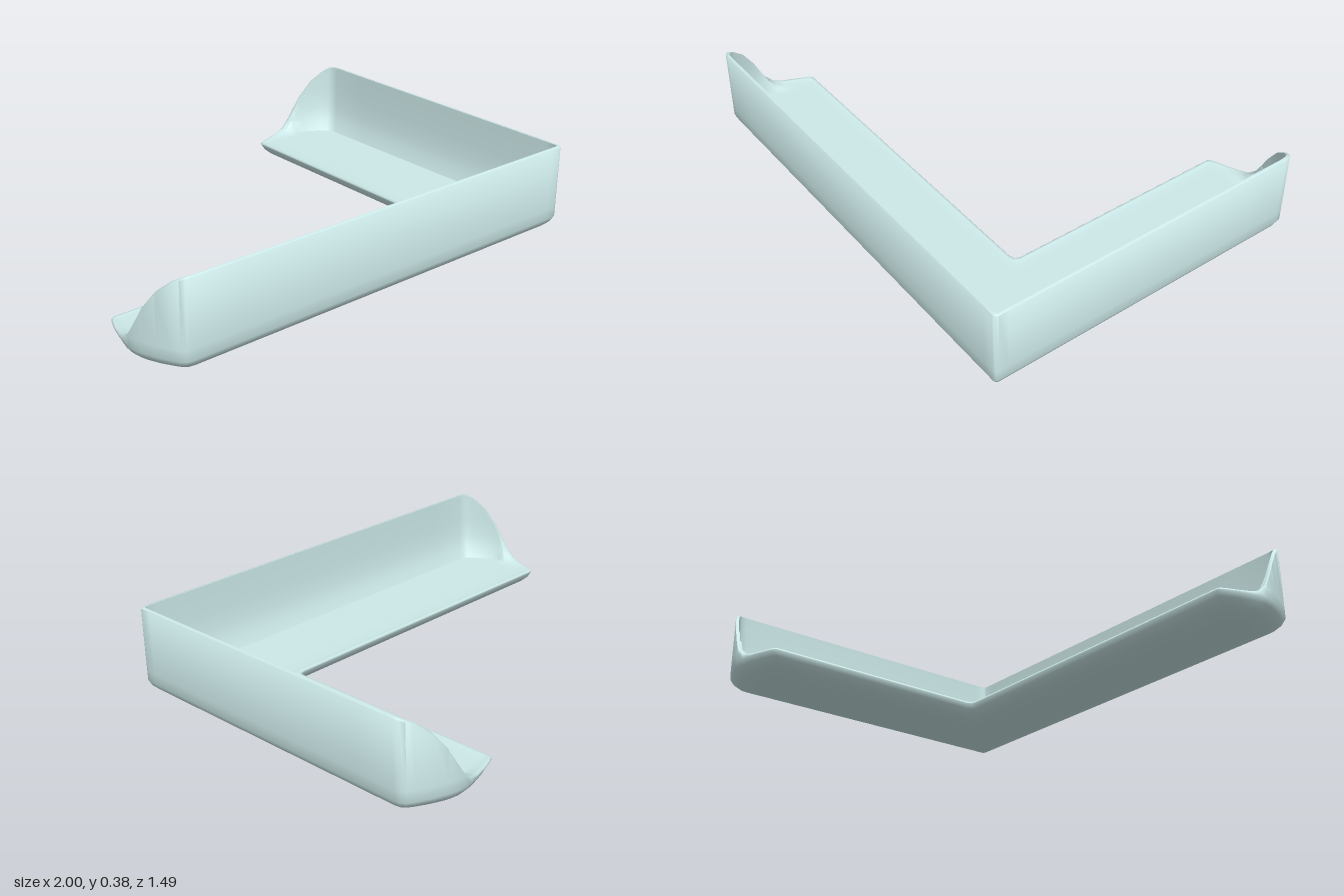
import * as THREE from 'three';
import { toCreasedNormals } from 'three/addons/utils/BufferGeometryUtils.js';

const HALF_Z = 0.745, WIDTH_X = 0.435, WIDTH_Z = 0.415, INSET = 0.1;
const WALL = 0.38, FLOOR = 0.072, LIP = 0.076;

// Rounded arm tip, from the low inner edge to the tall wall:
// [fraction across the arm, setback from the tip, rim height]
const TIP = [
  [1, 0.07, LIP], [0.985, 0.058, LIP], [0.94, 0.048, LIP], [0.83, 0.03, LIP],
  [0.7, 0.014, 0.08], [0.6, 0.004, 0.09], [0.51, 0, 0.125], [0.43, 0.005, 0.18],
  [0.36, 0.013, 0.235], [0.23, 0.034, 0.31], [0.1, 0.062, 0.358], [0.04, 0.078, 0.373],
  [0.01, 0.095, 0.379], [0, 0.12, WALL], [0, 0.3, WALL],
];

// Cross-section from the underside, round the outer wall and rim, to the floor: [inset, height]
const section = (h) => [
  [INSET, 0.003], [0.06, 0.012], [0.03, 0.025], [0.01, 0.045], [0, 0.066],
  [0, Math.min(0.11, h - 0.005)], [0.001, h - 0.003], [0.004, h], [0.013, h],
  [0.016, Math.min(0.25, h - 0.001)], [0.022, Math.min(0.18, h - 0.002)],
  [0.034, Math.min(0.12, h - 0.003)], [0.055, FLOOR], [INSET, FLOOR],
];

// Position across an arm after insetting both of its edges by d
const across = (t, w, d) => w / 2 + (t - 0.5) * (w - 2 * d);

// Plan outline: each entry gives the rim height and the plan point at inset d
function outline() {
  const right = TIP.map(([t, e, h]) => ({
    h, at: (d) => [1 - across(t, WIDTH_X, d), -HALF_Z + e + d],
  }));
  const left = TIP.map(([t, e, h]) => ({
    h, at: (d) => [-1 + e + d, HALF_Z - across(t, WIDTH_Z, d)],
  })).reverse();
  const ix = 1 - WIDTH_X, iz = HALF_Z - WIDTH_Z;
  const innerCorner = [[-0.03, 0], [-0.009, -0.009], [0, -0.03]].map(([x, z]) => ({
    h: LIP, at: (d) => [ix + x + d, iz + z + d],
  }));
  const outerCorner = [[0, -0.06], [0, -0.014], [-0.004, -0.004], [-0.014, 0], [-0.06, 0]]
    .map(([x, z]) => ({ h: WALL, at: (d) => [1 + x - d, HALF_Z + z - d] }));
  return [...innerCorner, ...right, ...outerCorner, ...left];
}

function shellGeometry() {
  const path = outline();
  const n = path.length;
  const m = section(WALL).length;
  const positions = [], index = [];

  // Walls and rims
  path.forEach(({ h, at }) => {
    for (const [d, y] of section(h)) {
      const [x, z] = at(d);
      positions.push(x, y, z);
    }
  });
  for (let i = 0; i < n; i++) {
    const k = (i + 1) % n;
    for (let j = 0; j < m - 1; j++) {
      const a = i * m + j, b = k * m + j;
      index.push(a, a + 1, b + 1, a, b + 1, b);
    }
  }

  // Flat floor and underside
  const ring = path.map(({ at }) => new THREE.Vector2(...at(INSET)));
  for (const [a, b, c] of THREE.ShapeUtils.triangulateShape(ring, [])) {
    const [p, q, r] = [ring[a], ring[b], ring[c]];
    const up = (q.y - p.y) * (r.x - p.x) - (q.x - p.x) * (r.y - p.y) > 0;
    const [s, t] = up ? [b, c] : [c, b];
    index.push(a * m + m - 1, s * m + m - 1, t * m + m - 1);
    index.push(a * m, t * m, s * m);
  }

  const geometry = new THREE.BufferGeometry();
  geometry.setAttribute('position', new THREE.Float32BufferAttribute(positions, 3));
  geometry.setIndex(index);
  return toCreasedNormals(geometry, 0.95);
}

export function createModel() {
  const group = new THREE.Group();
  group.name = 'cornerTray';
  const material = new THREE.MeshStandardMaterial({ color: 0xcde9e9 });
  const shell = new THREE.Mesh(shellGeometry(), material);
  shell.name = 'cornerShell';
  group.add(shell);
  return group;
}
